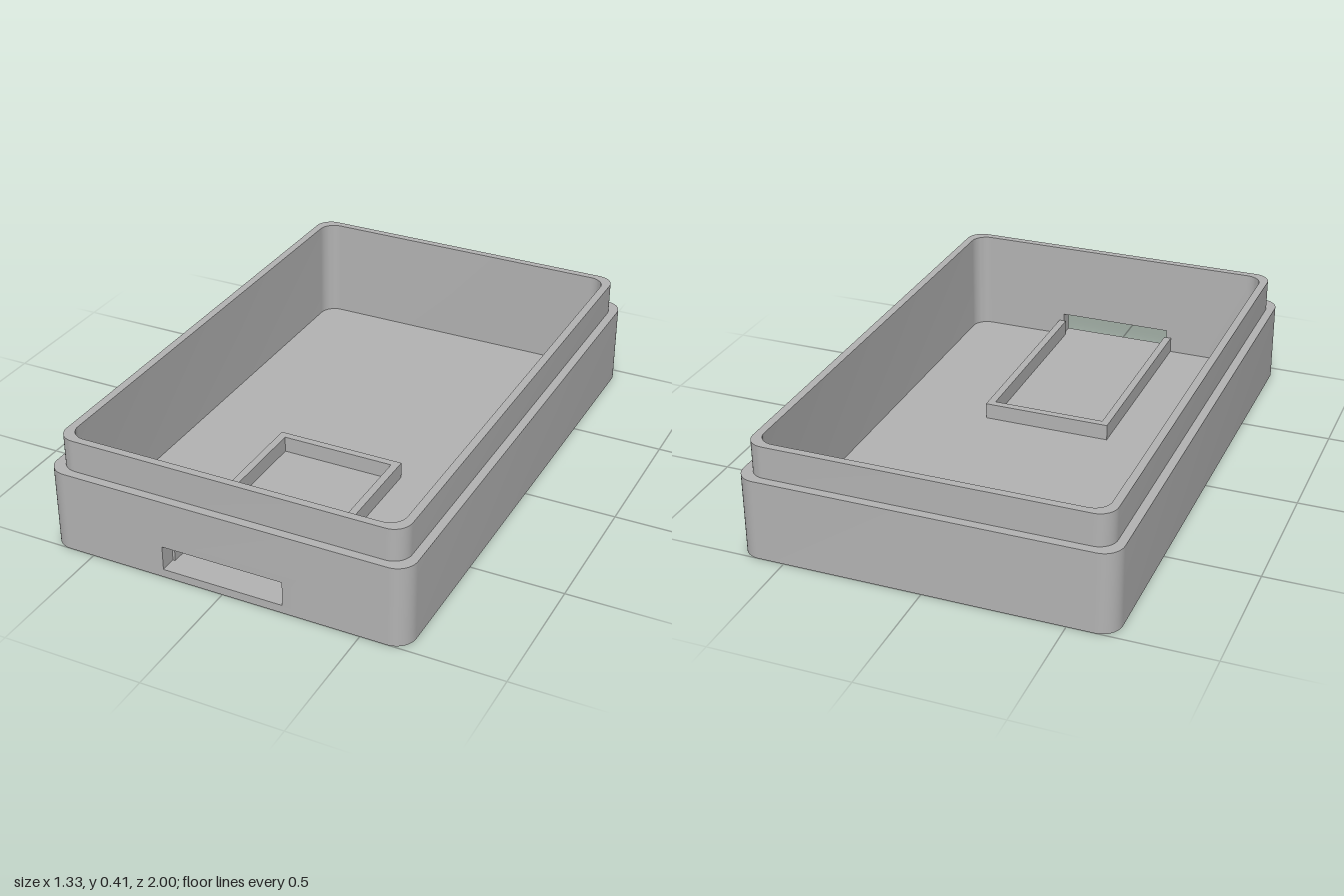
import * as THREE from 'three';
import { toCreasedNormals } from 'three/addons/utils/BufferGeometryUtils.js';

const SEG = 10; // segments per rounded corner

// rounded rectangle loop at height y (half sizes w, d)
function roundedLoop(w, d, r, y) {
  const points = [];
  [[1, 1], [-1, 1], [-1, -1], [1, -1]].forEach(([sx, sz], c) => {
    for (let i = 0; i <= SEG; i++) {
      const a = (c + i / SEG) * Math.PI / 2;
      points.push(new THREE.Vector3(sx * (w - r) + r * Math.cos(a), y, sz * (d - r) + r * Math.sin(a)));
    }
  });
  return points;
}

// upright rectangle loop at depth z
function rectLoop(w, y0, y1, z) {
  return [[w, y0], [-w, y0], [-w, y1], [w, y1]].map(([x, y]) => new THREE.Vector3(x, y, z));
}

function createShell() {
  const H = 0.297, TOP = 0.415, FLOOR = 0.03;
  const W = 0.665, R = 0.07, IW = 0.605, ID = 0.94, IR = 0.06;
  const positions = [];
  const triangle = new THREE.Triangle();
  const tri = (a, b, c) => {
    if (triangle.set(a, b, c).getArea() < 1e-9) return;
    for (const p of [a, b, c]) positions.push(p.x, p.y, p.z);
  };
  // strip of faces between two loops, optionally leaving one side open
  const band = (a, b, skip = -1) => {
    for (let i = 0; i < a.length; i++) {
      if (i === skip) continue;
      const j = (i + 1) % a.length;
      tri(a[j], a[i], b[i]);
      tri(a[j], b[i], b[j]);
    }
  };
  const center = y => new Array(4 * (SEG + 1)).fill(new THREE.Vector3(0, y, 0));

  const base = roundedLoop(W, 1, R, 0);
  const shoulder = roundedLoop(W, 1, R, H);
  const lipBase = roundedLoop(0.634, 0.968, 0.063, H);
  const lipTop = roundedLoop(0.634, 0.968, 0.063, TOP);
  const rim = roundedLoop(IW, ID, IR, TOP);
  const floor = roundedLoop(IW, ID, IR, FLOOR);

  band(center(0), base);           // underside
  band(base, shoulder, SEG);       // outer wall, front left open
  band(shoulder, lipBase);         // ledge
  band(lipBase, lipTop);           // lip
  band(lipTop, rim);               // rim
  band(rim, floor, SEG);           // inner wall, front left open
  band(floor, center(FLOOR));      // floor

  // front wall with the slot cut through it
  const slotOut = rectLoop(0.223, FLOOR, 0.12, 1);
  const slotIn = rectLoop(0.223, FLOOR, 0.12, ID);
  band(rectLoop(W - R, 0, H, 1), slotOut);
  band(slotOut, slotIn);
  band(slotIn, rectLoop(IW - IR, FLOOR, TOP, ID));

  const geometry = new THREE.BufferGeometry();
  geometry.setAttribute('position', new THREE.Float32BufferAttribute(positions, 3));
  return toCreasedNormals(geometry, 0.6);
}

// low U-shaped ridge on the floor, open towards the slot
function createRidge() {
  const outline = [[-0.242, -0.94], [-0.214, -0.94], [-0.214, -0.168], [0.214, -0.168],
    [0.214, -0.94], [0.242, -0.94], [0.242, -0.14], [-0.242, -0.14]];
  const shape = new THREE.Shape(outline.map(([x, y]) => new THREE.Vector2(x, y)));
  const geometry = new THREE.ExtrudeGeometry(shape, { depth: 0.06, bevelEnabled: false });
  return geometry.rotateX(-Math.PI / 2).translate(0, 0.03, 0);
}

export function createModel() {
  const grey = new THREE.MeshStandardMaterial({ color: 0xb3b3b3 });
  grey.name = 'plainGrey';
  const group = new THREE.Group();
  group.name = 'enclosureBase';
  const add = (name, geometry) => {
    const mesh = new THREE.Mesh(geometry, grey);
    mesh.name = name;
    group.add(mesh);
  };
  add('caseShell', createShell());
  add('boardRidge', createRidge());
  return group;
}
